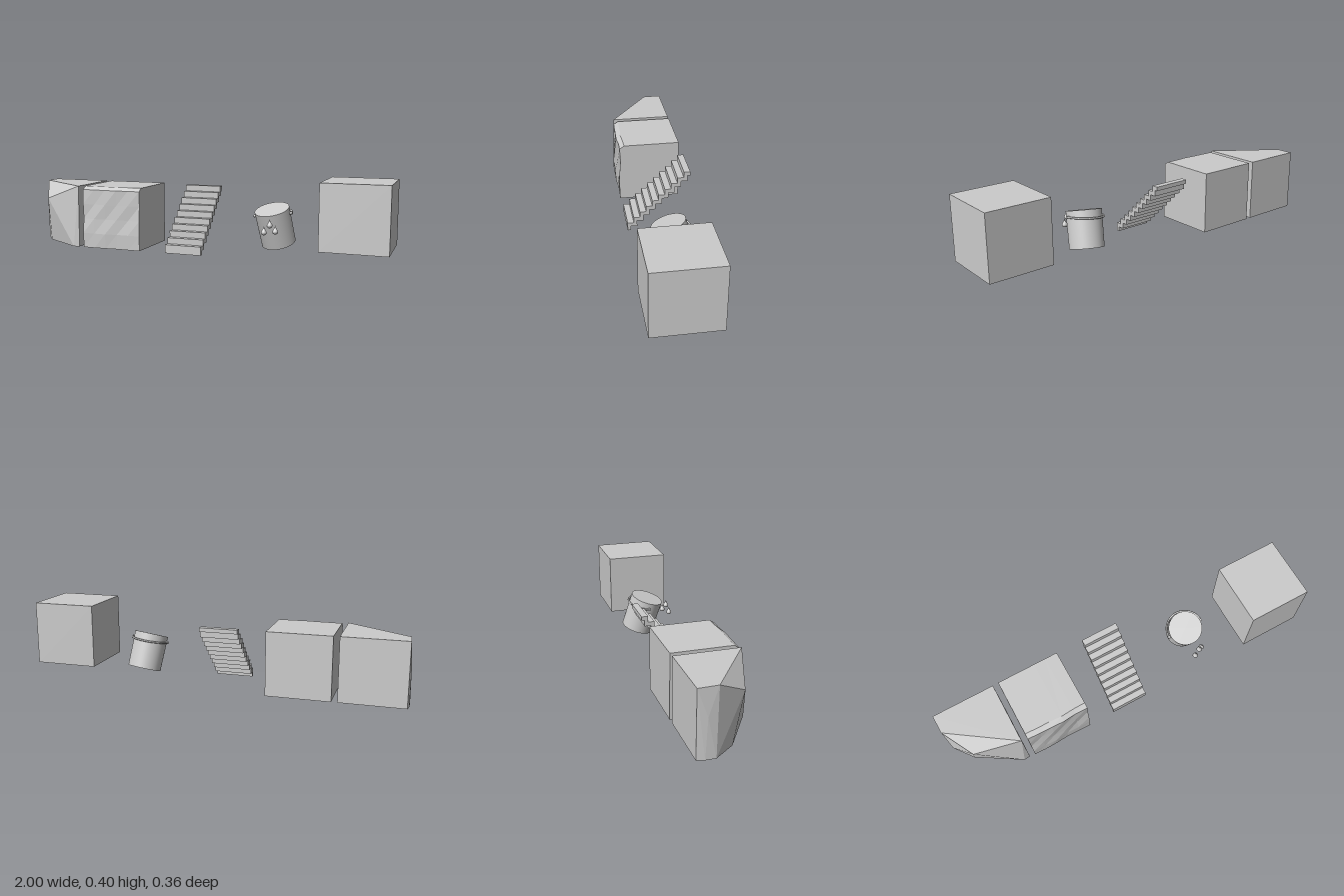
import * as THREE from 'three';
import { ConvexGeometry } from 'three/addons/geometries/ConvexGeometry.js';

const flat = new THREE.MeshStandardMaterial({ color: 0xcccccc, flatShading: true });
const smooth = new THREE.MeshStandardMaterial({ color: 0xcccccc });

function add(parent, name, geometry, material, x = 0, y = 0, z = 0) {
  const mesh = new THREE.Mesh(geometry, material);
  mesh.name = name;
  mesh.position.set(x, y, z);
  parent.add(mesh);
  return mesh;
}

// Block with a rough front face and a chamfered top front edge
function roughBlockGeometry() {
  const geo = new THREE.BoxGeometry(0.334, 0.332, 0.333, 5, 5, 1);
  const pos = geo.attributes.position;
  for (let i = 0; i < pos.count; i++) {
    const col = Math.round((pos.getX(i) / 0.334 + 0.5) * 5);
    const row = Math.round((pos.getY(i) / 0.332 + 0.5) * 5);
    const isFront = pos.getZ(i) > 0;
    if (row < 5) pos.setY(i, -0.166 + row * 0.0788);
    if (!isFront) continue;
    const bump = 0.006 * Math.sin(col * 2.3 + row * 4.1) * Math.cos(row * 1.7 - col * 0.9);
    const swell = row === 1 ? 0.004 : 0;
    pos.setZ(i, row === 5 ? 0.143 + bump : 0.168 + bump + swell);
  }
  return geo;
}

// Faceted corner block, cut away on its front right side
function cornerBlockGeometry() {
  return new ConvexGeometry([
    [-0.99, 0.335, -0.178], [-0.657, 0.335, -0.178], [-0.657, 0.335, 0.15], [-0.987, 0.335, -0.08],
    [-0.9, 0.25, 0.07],
    [-0.99, 0.003, -0.178], [-0.657, 0.003, -0.178], [-0.657, 0.003, 0.152], [-0.69, 0.003, 0.156],
    [-0.92, 0.003, 0.012], [-0.998, 0.003, -0.09], [-0.998, 0.003, -0.14], [-0.997, 0.2, -0.13],
  ].map((p) => new THREE.Vector3(...p)));
}

// Folded stair profile: up the treads, back down the stepped underside
function stairGeometry(steps, run, rise, width) {
  const s = new THREE.Shape();
  s.moveTo(-0.155, 0.003);
  for (let k = 0; k < steps; k++) {
    s.lineTo(-0.155 + run * k, 0.048 + rise * k);
    s.lineTo(-0.155 + run * (k + 1), 0.048 + rise * k);
  }
  s.lineTo(-0.155 + run * steps, 0.027 + rise * (steps - 1));
  for (let k = steps - 1; k >= 0; k--) {
    s.lineTo(-0.137 + run * k, 0.027 + rise * k);
    s.lineTo(-0.137 + run * k, k > 0 ? 0.027 + rise * (k - 1) : 0.003);
  }
  const geo = new THREE.ExtrudeGeometry(s, { depth: width, bevelEnabled: false });
  return geo.rotateY(Math.PI / 2); // profile x becomes -z
}

// Teardrop with its tip upwards
function dropGeometry() {
  const profile = new THREE.SplineCurve([
    [0, -0.015], [0.009, -0.012], [0.0145, -0.003], [0.012, 0.006], [0.005, 0.018], [0, 0.03],
  ].map((p) => new THREE.Vector2(...p))).getPoints(16);
  profile.forEach((p) => { p.x = Math.max(p.x, 0); });
  return new THREE.LatheGeometry(profile, 20);
}

function createBucket() {
  const bucket = new THREE.Group();
  bucket.name = 'bucket';
  const bottom = new THREE.Vector3(0.408, 0.06, -0.06);
  const top = new THREE.Vector3(0.383, 0.24, -0.005);
  const axis = top.clone().sub(bottom);
  const height = axis.length();
  bucket.position.copy(bottom).lerp(top, 0.5);
  bucket.quaternion.setFromUnitVectors(new THREE.Vector3(0, 1, 0), axis.normalize());
  add(bucket, 'bucketBody', new THREE.CylinderGeometry(0.09, 0.088, height, 48), smooth);

  // Handle resting around the back, just below the rim
  const handleGeo = new THREE.TorusGeometry(0.098, 0.005, 10, 40, Math.PI);
  handleGeo.rotateX(-Math.PI / 2 - 0.15);
  add(bucket, 'handle', handleGeo, smooth, 0, height / 2 - 0.03, 0);
  for (const side of [-1, 1]) {
    const ear = new THREE.CylinderGeometry(0.007, 0.007, 0.016, 14).rotateZ(Math.PI / 2);
    add(bucket, 'handlePivot', ear, smooth, side * 0.095, height / 2 - 0.03, 0);
  }
  return bucket;
}

export function createModel() {
  const model = new THREE.Group();
  model.name = 'blockSet';

  add(model, 'plainBlock', new THREE.BoxGeometry(0.334, 0.333, 0.335), flat, 0.83, 0.2365, 0.0135);
  add(model, 'roughBlock', roughBlockGeometry(), flat, -0.46, 0.169, -0.0125);
  add(model, 'cornerBlock', cornerBlockGeometry(), flat);
  add(model, 'stairs', stairGeometry(10, 0.0333, 0.0315, 0.2), flat, -0.147, 0, 0);

  model.add(createBucket());
  const drops = [[0.378, 0.14, 0.125], [0.405, 0.175, 0.115], [0.43, 0.143, 0.1]];
  drops.forEach((p) => add(model, 'drop', dropGeometry(), smooth, ...p));
  return model;
}
